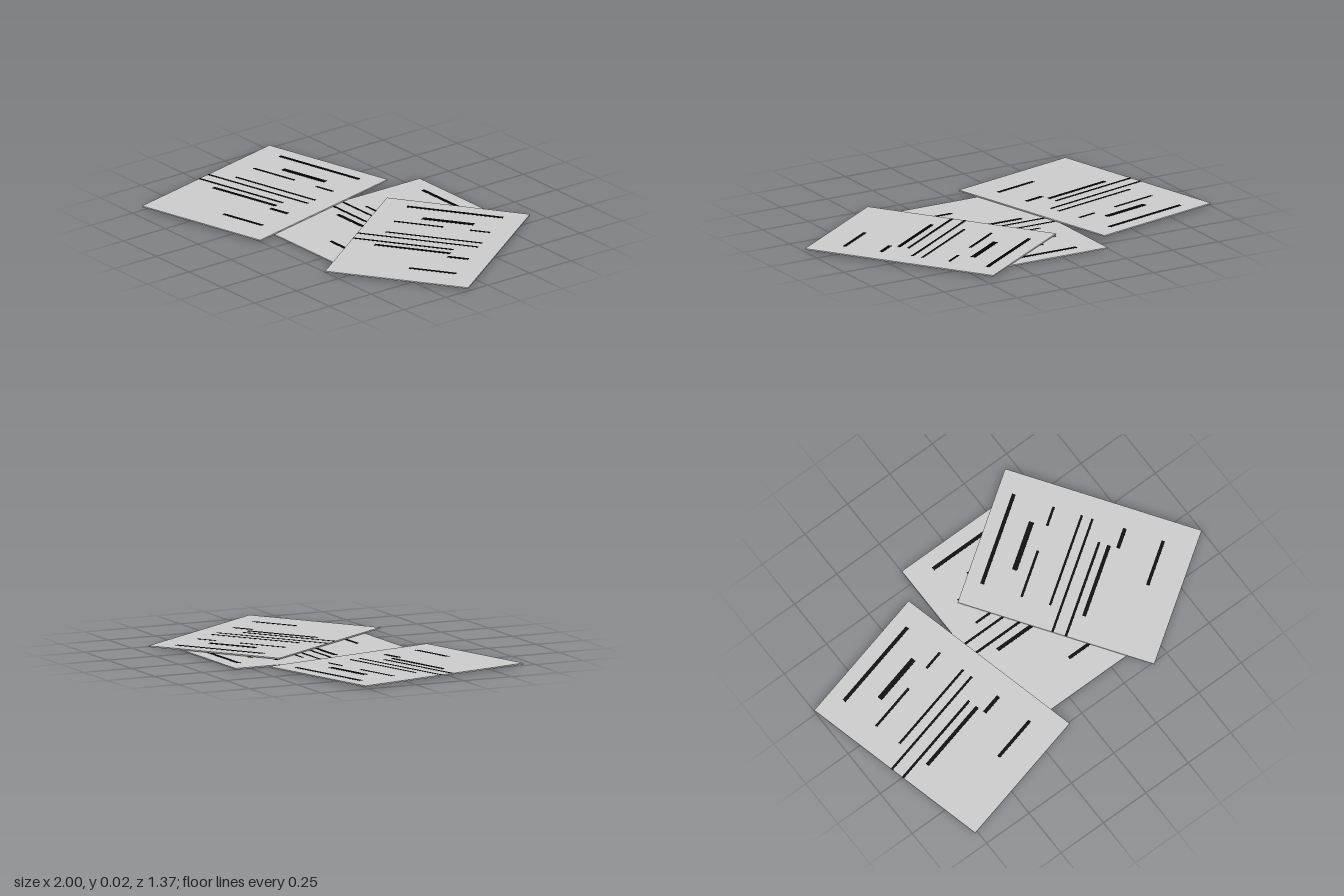
import * as THREE from 'three';

const PAGE_W = 0.705, PAGE_D = 0.975, PAGE_T = 0.006, INK_T = 0.001;

// printed bars on every sheet: [left end, right end, distance down the page, thickness]
const BARS = [
  [-0.228, 0.245, -0.408, 0.018],
  [-0.114, 0.139, -0.285, 0.025],
  [-0.231, 0.012, -0.211, 0.012],
  [0.143, 0.244, -0.21, 0.012],
  [-0.229, 0.246, -0.071, 0.011],
  [-0.352, 0.245, -0.018, 0.011],
  [-0.352, 0.144, 0.049, 0.012],
  [-0.23, 0.143, 0.098, 0.018],
  [0.144, 0.247, 0.142, 0.018],
  [0.013, 0.245, 0.333, 0.016],
];

// one sheet: name, centre x, base height, centre z, turn about y
const SHEETS = [
  ['middleSheet', 0.103, 0, -0.088, 0],
  ['rightSheet', -0.54, 0.009, 0.123, 0.243],
  ['leftSheet', 0.431, 0.009, -0.088, 0.602],
];

export function createModel() {
  const model = new THREE.Group();
  model.name = 'looseSheets';
  const paper = new THREE.MeshStandardMaterial({ color: 0xcccccc });
  const ink = new THREE.MeshStandardMaterial({ color: 0x050505 });

  for (const [name, x, y, z, turn] of SHEETS) {
    const sheet = new THREE.Group();
    sheet.name = name;
    sheet.position.set(x, y, z);
    sheet.rotation.y = turn;

    // thin paper slab
    const page = new THREE.Mesh(new THREE.BoxGeometry(PAGE_W, PAGE_T, PAGE_D), paper);
    page.name = 'page';
    page.position.y = PAGE_T / 2;
    sheet.add(page);

    // raised ink bars on the top face
    for (const [u0, u1, v, t] of BARS) {
      const bar = new THREE.Mesh(new THREE.BoxGeometry(u1 - u0, INK_T, t), ink);
      bar.name = 'inkBar';
      bar.position.set((u0 + u1) / 2, PAGE_T + INK_T / 2, v);
      sheet.add(bar);
    }
    model.add(sheet);
  }
  return model;
}
